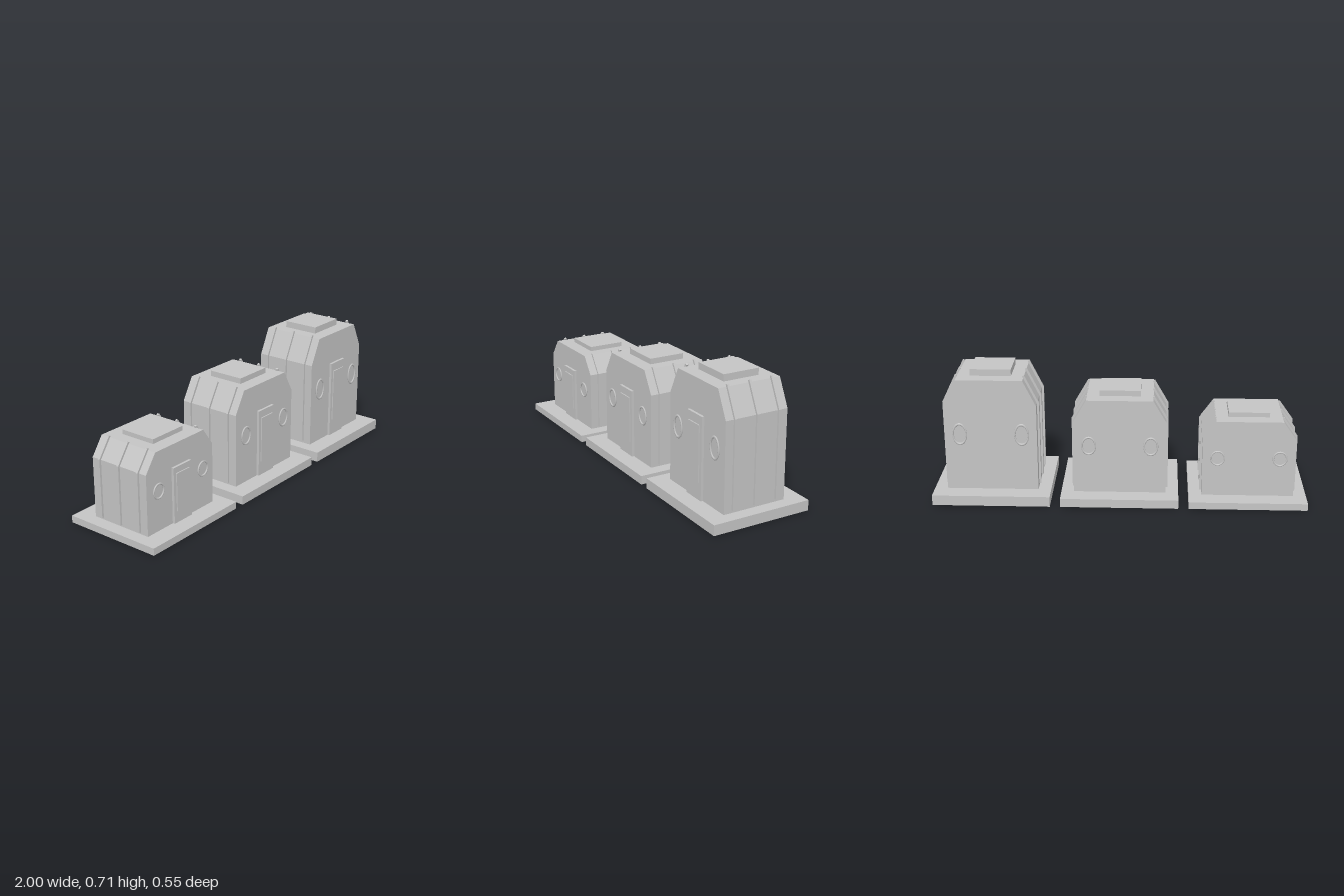
import * as THREE from 'three';

export function createModel() {
  const model = new THREE.Group();
  const grey = new THREE.MeshStandardMaterial({ color: 0xc4c4c4 });
  grey.name = 'grey';

  const add = (parent, name, geometry, x = 0, y = 0, z = 0) => {
    const mesh = new THREE.Mesh(geometry, grey);
    mesh.name = name;
    mesh.position.set(x, y, z);
    parent.add(mesh);
    return mesh;
  };

  // Box given by width, depth and its bottom and top heights
  const block = (parent, name, w, d, y0, y1, z = 0) =>
    add(parent, name, new THREE.BoxGeometry(w, y1 - y0, d), 0, (y0 + y1) / 2, z);

  // Outline in x and y, extruded evenly about z = 0
  const slab = (points, depth) => {
    const shape = new THREE.Shape(points.map(([x, y]) => new THREE.Vector2(x, y)));
    return new THREE.ExtrudeGeometry(shape, { depth, bevelEnabled: false }).translate(0, 0, -depth / 2);
  };

  const bodyOutline = [
    [-0.246, 0.056], [0.246, 0.056], [0.246, 0.533],
    [0.177, 0.674], [-0.177, 0.674], [-0.246, 0.533],
  ];
  const ribOutline = [
    [0.24, 0.071], [0.257, 0.071], [0.257, 0.537],
    [0.183, 0.689], [0.172, 0.683], [0.24, 0.533],
  ];

  function createHut(name, x, heightScale) {
    const hut = new THREE.Group();
    hut.name = name;
    hut.position.x = x;
    hut.scale.y = heightScale;

    block(hut, 'base', 0.63, 0.554, 0, 0.056);
    add(hut, 'body', slab(bodyOutline, 0.354));
    block(hut, 'roofHatch', 0.218, 0.202, 0.67, 0.71);

    // Front door with its raised panel
    block(hut, 'door', 0.13, 0.02, 0.058, 0.499, 0.181);
    block(hut, 'doorPanel', 0.096, 0.012, 0.152, 0.452, 0.191);

    for (const side of [-1, 1]) {
      // Ribs that follow the wall and the sloped eave
      for (const z of [-0.126, 0, 0.126]) {
        add(hut, 'rib', slab(ribOutline.map(([px, py]) => [side * px, py]), 0.012), 0, 0, z);
      }
      // Porthole rims on the front and back walls
      for (const z of [-0.182, 0.182]) {
        const rim = add(hut, 'portholeRim', new THREE.TorusGeometry(0.0355, 0.0045, 8, 28), side * 0.165, 0.373, z);
        rim.scale.y = 1.58;
      }
    }
    return hut;
  }

  // Three huts of rising height
  model.add(
    createHut('lowHut', -0.685, 0.683),
    createHut('middleHut', 0, 0.845),
    createHut('tallHut', 0.685, 1),
  );
  return model;
}
